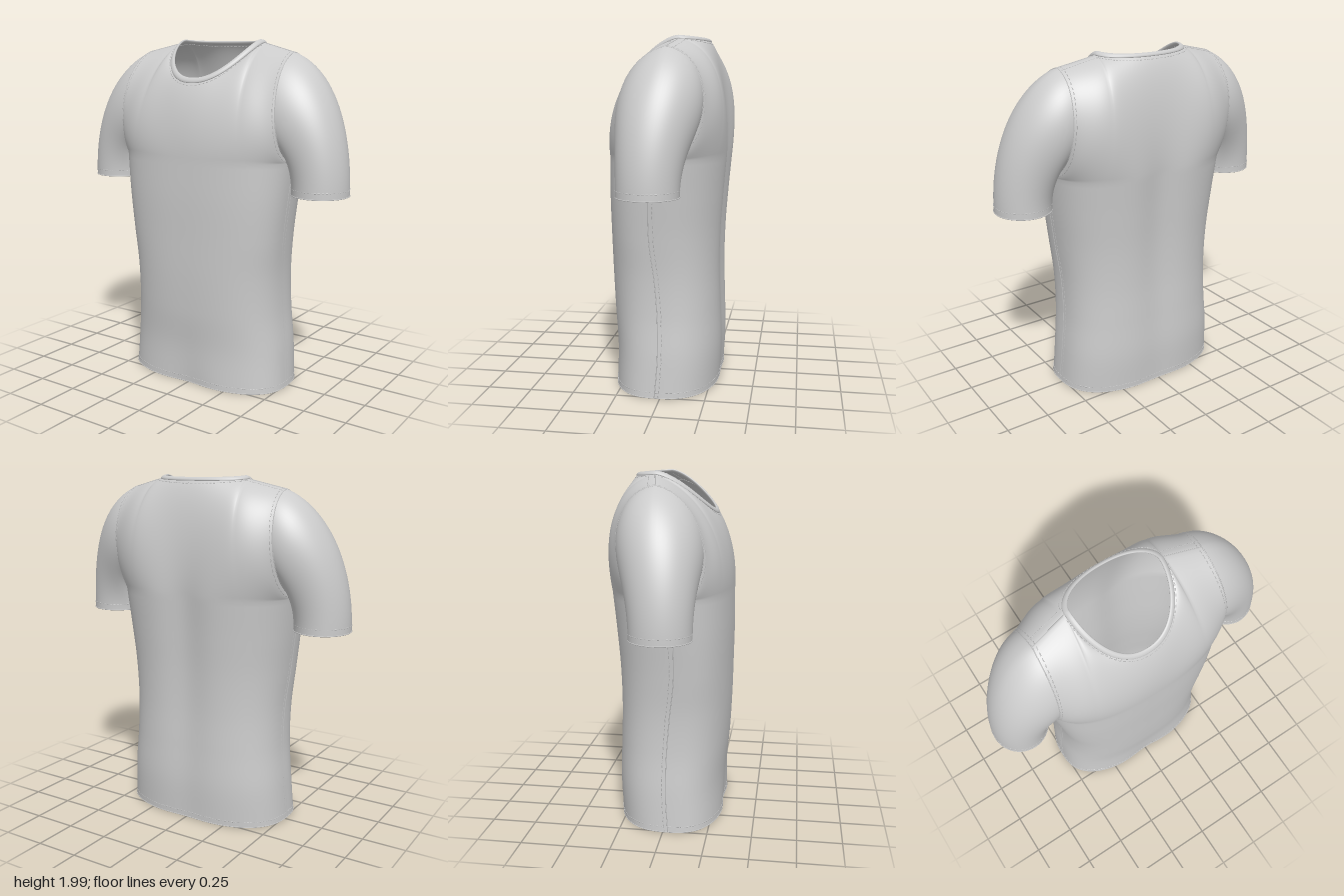
import * as THREE from 'three';
import { mergeGeometries, mergeVertices } from 'three/addons/utils/BufferGeometryUtils.js';

const V = (x, y, z) => new THREE.Vector3(x, y, z);
const mix = THREE.MathUtils.lerp;
const ease = (t) => t * t * (3 - 2 * t);
const UNDERARM = 1.33, SPLIT = 0.6;

// Body measures at even heights from hem to underarm
const HALF_WIDTH = [0.515, 0.5, 0.48, 0.478, 0.497, 0.522, 0.545];
const FRONT = [0.315, 0.312, 0.328, 0.338, 0.342, 0.345, 0.342];
const BACK = [-0.3, -0.312, -0.308, -0.304, -0.31, -0.326, -0.346];
const SIDE_SEAM = [0.03, 0.015, 0.018, 0.035, 0.06, 0.06, 0.045];

// Column handles [y, z] at centre, neck corner and armhole
const FRONT_LOW = [[1.5, 0.345], [1.58, 0.345], [1.35, 0.31]];
const FRONT_HIGH = [[1.65, 0.31], [1.88, 0.2], [1.85, 0.27]];
const BACK_LOW = [[1.55, -0.325], [1.58, -0.37], [1.36, -0.32]];
const BACK_HIGH = [[1.85, -0.29], [1.93, -0.31], [1.89, -0.31]];

// Catmull-Rom value at f (0..1) of an evenly spaced list
function sample(list, f) {
  const n = list.length - 1, i = Math.min(n - 1, Math.floor(f * n)), t = f * n - i;
  const b = list[i], c = list[i + 1];
  const a = i > 0 ? list[i - 1] : 2 * b - c, d = i + 2 <= n ? list[i + 2] : 2 * c - b;
  return b + 0.5 * t * (c - a + t * (2 * a - 5 * b + 4 * c - d + t * (3 * (b - c) + d - a)));
}

// Smooth blend of three handles across half the body
function handle(keys, a, x) {
  const i = a < 0.5 ? 0 : 1, t = ease(a * 2 - i);
  return V(x, mix(keys[i][0], keys[i + 1][0], t), mix(keys[i][1], keys[i + 1][1], t));
}

// Neckline seam, phi = 0 at front centre
function neckEdge(phi) {
  const c = Math.cos(phi), s = Math.sin(phi);
  return V(
    0.285 * Math.sign(s) * Math.abs(s) ** 0.9,
    c > 0 ? 1.97 - 0.22 * c ** 1.5 : 1.97 + 0.01 * c,
    -0.07 + (c > 0 ? 0.32 : 0.145) * c
  );
}

// Horizontal half ring of the torso, a = 0 at centre, 1 at side seam
function ring(dir, a, f) {
  const ang = (Math.PI / 2) * a ** 1.3, w = sample(HALF_WIDTH, f), zs = sample(SIDE_SEAM, f);
  const x = w * Math.sin(ang) ** 0.78;
  let z = mix(zs, sample(dir > 0 ? FRONT : BACK, f), Math.max(0, Math.cos(ang)) ** 0.78);
  const middle = Math.exp(-((x / 0.14) ** 2));
  if (dir > 0) z -= 0.02 * middle * Math.max(0, 1 - f * 3) ** 2;
  else z += (0.012 + 0.03 * f) * middle;
  return V(x, UNDERARM * f, z);
}

// Torso surface: s = -1..1 across, v = 0 hem .. 1 neck and shoulder
function body(dir, s, v) {
  const a = Math.abs(s);
  let p;
  if (v <= SPLIT) p = ring(dir, a, v / SPLIT);
  else {
    const p0 = ring(dir, a, 1);
    const p3 = a <= 0.5
      ? neckEdge(dir > 0 ? a * Math.PI : Math.PI - a * Math.PI)
      : V(0.285, 1.97, -0.07).lerp(V(0.495, 1.92, -0.03), a * 2 - 1);
    const p1 = handle(dir > 0 ? FRONT_LOW : BACK_LOW, a, mix(p0.x, p3.x, 0.33));
    const p2 = handle(dir > 0 ? FRONT_HIGH : BACK_HIGH, a, mix(p0.x, p3.x, 0.7));
    p = new THREE.CubicBezierCurve3(p0, p1, p2, p3).getPoint((v - SPLIT) / (1 - SPLIT));
  }
  if (s < 0) p.x = -p.x;
  return p;
}

// Armhole loop, t = 0 underarm, 0.5 shoulder; front first
const armhole = (t, s = 1) => t <= 0.5
  ? body(1, s, mix(SPLIT, 1, t * 2)) : body(-1, s, mix(SPLIT, 1, 2 - t * 2));

// Sleeve surface from armhole (v = 0) to cuff (v = 1)
function sleeve(t, v) {
  const phi = t * Math.PI * 2, k = (1 - Math.cos(phi)) / 2, a = armhole(t);
  const c = V(0.7025 - 0.1575 * Math.cos(phi), 1.16, 0.025 + 0.165 * Math.sin(phi));
  const p1 = a.clone().add(V(0.03 + 0.17 * k, -0.05 - 0.02 * k, 0));
  const p2 = c.clone().add(V(0, 0.06 + 0.32 * k, 0));
  return new THREE.CubicBezierCurve3(a, p1, p2, c).getPoint(v);
}

// Surface patch, facing the side of u x v
function patch(fn, nu, nv) {
  const pos = [], idx = [];
  for (let j = 0; j <= nv; j++) for (let i = 0; i <= nu; i++) {
    const p = fn(i / nu, j / nv);
    pos.push(p.x, p.y, p.z);
    if (i < nu && j < nv) {
      const a = j * (nu + 1) + i, d = a + nu + 1;
      idx.push(a, a + 1, d + 1, a, d + 1, d);
    }
  }
  const g = new THREE.BufferGeometry();
  g.setAttribute('position', new THREE.Float32BufferAttribute(pos, 3));
  g.setIndex(idx);
  return g;
}

function smooth(...parts) {
  const g = mergeVertices(mergeGeometries(parts), 1e-4);
  g.computeVertexNormals();
  return g;
}

// Thin raised seam along a path
function seam(fn, n) {
  const pts = Array.from({ length: n + 1 }, (_, i) => fn(i / n));
  return new THREE.TubeGeometry(new THREE.CatmullRomCurve3(pts), n * 2, 0.003, 4);
}

// Row of short stitches along a path
function stitches(fn, n) {
  return mergeGeometries(Array.from({ length: n }, (_, i) => {
    const p = fn(i / n), d = fn((i + 0.6) / n).sub(p);
    const g = new THREE.CylinderGeometry(0.0025, 0.0025, d.length(), 4, 1, true);
    g.applyQuaternion(new THREE.Quaternion().setFromUnitVectors(V(0, 1, 0), d.clone().normalize()));
    return g.translate(...p.addScaledVector(d, 0.5).toArray());
  }));
}

export function createModel() {
  const shirt = new THREE.Group();
  shirt.name = 'shirt';
  const cloth = new THREE.MeshStandardMaterial({ color: 0xcccccc, side: THREE.DoubleSide });
  const add = (name, geometry) => {
    const m = new THREE.Mesh(geometry, cloth);
    m.name = name;
    shirt.add(m);
  };

  // Front and back panels joined at sides and shoulders
  add('torso', smooth(
    patch((u, v) => body(1, u * 2 - 1, v), 80, 80),
    patch((u, v) => body(-1, 1 - u * 2, v), 80, 80)
  ));

  // Flattened ribbed band around the neckline
  const band = (u, v) => {
    const phi = u * Math.PI * 2, b = v * Math.PI * 2;
    const outer = neckEdge(phi);
    const inner = V(outer.x * 0.9, outer.y + 0.018 + 0.012 * Math.max(0, Math.cos(phi)), mix(0.02, outer.z, 0.91));
    const half = inner.clone().sub(outer).multiplyScalar(0.5);
    const along = neckEdge(phi + 0.01).sub(neckEdge(phi - 0.01));
    const normal = along.cross(half).normalize();
    return outer.add(half.clone().multiplyScalar(1 + Math.cos(b))).addScaledVector(normal, 0.008 * Math.sin(b));
  };
  add('neckBand', smooth(patch(band, 96, 10)));

  // Stitch row below the neck band and around the hem
  const loop = (v, reach) => (t) => t < 0.5
    ? body(1, (t * 4 - 1) * reach, v) : body(-1, (3 - t * 4) * reach, v);
  add('neckStitches', stitches(loop(0.985, 0.5), 80));
  add('hemStitches', stitches(loop(0.014, 1), 140));
  add('hemEdge', seam(loop(0, 1), 100));

  for (const side of [1, -1]) {
    const label = side > 0 ? 'left' : 'right';
    const flip = (fn) => (...args) => { const p = fn(...args); p.x *= side; return p; };

    add(label + 'Sleeve', smooth(patch(flip((u, v) => sleeve(side > 0 ? 1 - u : u, v)), 64, 36)));

    // Armhole, cuff, side and shoulder seams
    add(label + 'ArmholeSeam', seam(flip((t) => armhole(t)), 60));
    add(label + 'ArmholeStitches', stitches(flip((t) => armhole(t, 0.95)), 56));
    add(label + 'CuffEdge', seam(flip((t) => sleeve(t, 1)), 48));
    add(label + 'CuffStitches', stitches(flip((t) => {
      const p = sleeve(t, 1);
      p.y += 0.035;
      return p;
    }), 48));
    add(label + 'SideSeam', seam(flip((t) => body(1, 1, t * SPLIT)), 40));
    add(label + 'SideStitches', stitches(flip((t) => body(-1, 0.985, t * SPLIT)), 50));
    add(label + 'ShoulderSeam', seam(flip((t) => body(1, mix(0.5, 1, t), 1)), 12));
    add(label + 'ShoulderStitches', stitches(flip((t) => body(-1, mix(0.5, 1, t), 0.98)), 14));
  }
  return shirt;
}
